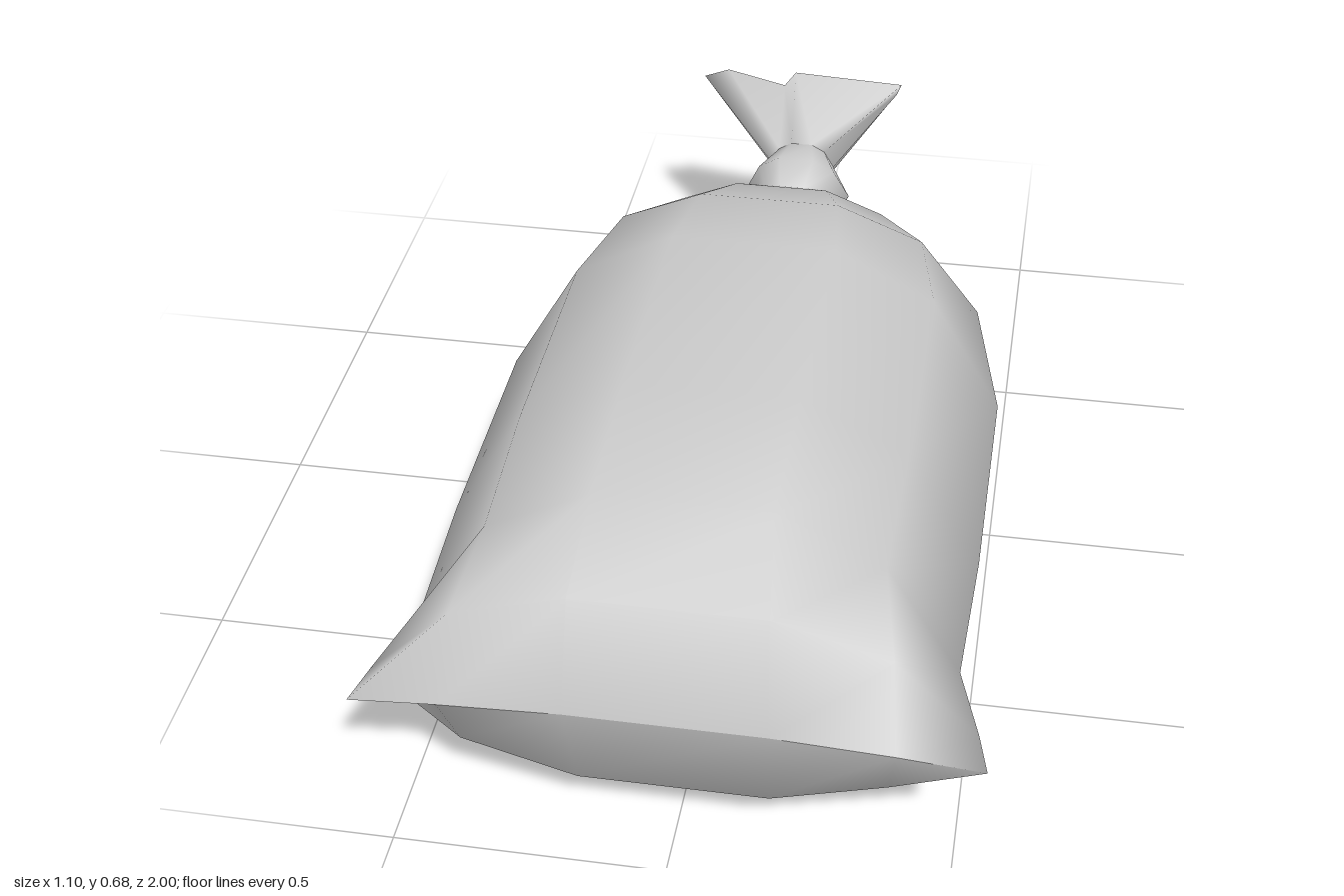
import * as THREE from 'three';

const material = new THREE.MeshStandardMaterial({ color: 0xcccccc, side: THREE.DoubleSide });

// Ten-sided unit outline, counter-clockwise from +x
const OUTLINE = [
  [1, 0], [0.72, 0.7], [0.325, 1], [-0.325, 1], [-0.72, 0.7],
  [-1, 0], [-0.72, -0.7], [-0.325, -1], [0.325, -1], [0.72, -0.7],
];
const SIDES = OUTLINE.length;

// A ring that may lean: its top and bottom can sit at different z
function ring(halfWidth, yTop, yBottom, zTop, zBottom = zTop) {
  return OUTLINE.map(([u, v]) => [
    u * halfWidth,
    THREE.MathUtils.lerp(yBottom, yTop, (v + 1) / 2),
    THREE.MathUtils.lerp(zBottom, zTop, (v + 1) / 2),
  ]);
}

// Smooth skin over rings that run from front to back
function loft(name, rings) {
  const index = [];
  for (let k = 0; k < rings.length - 1; k++) {
    for (let i = 0; i < SIDES; i++) {
      const a = k * SIDES + i;
      const b = k * SIDES + (i + 1) % SIDES;
      const c = a + SIDES;
      const d = b + SIDES;
      index.push(a, c, b, b, c, d);
    }
  }
  const geometry = new THREE.BufferGeometry();
  geometry.setAttribute('position', new THREE.Float32BufferAttribute(rings.flat(2), 3));
  geometry.setIndex(index);
  geometry.computeVertexNormals();
  const mesh = new THREE.Mesh(geometry, material);
  mesh.name = name;
  return mesh;
}

export function createModel() {
  const group = new THREE.Group();
  group.name = 'tiedSack';

  // Sack: flat front seam, full belly, leaning shoulders closing at the neck
  const seam = ring(0.55, 0.34, 0.34, 1).map(([x, y]) => [x, y, 0.975 + 0.025 * (x / 0.55) ** 2]);
  const shoulder = ring(0.43, 0.655, 0.055, -0.2, -0.4);
  shoulder[9] = [0.355, 0.055, -0.37]; // sagging fold under one side
  const neck = ring(0.095, 0.48, 0.31, -0.53, -0.565);
  group.add(loft('sack', [
    seam,
    ring(0.53, 0.555, 0.13, 0.92),
    ring(0.485, 0.66, 0.02, 0.77),
    ring(0.495, 0.68, 0, 0.48),
    ring(0.495, 0.68, 0, 0),
    shoulder,
    ring(0.29, 0.58, 0.18, -0.37, -0.51),
    neck,
  ]));

  // Knot: small bulge between the neck and the loose end
  const tie = ring(0.07, 0.5, 0.37, -0.68, -0.72);
  group.add(loft('knot', [
    ring(0.08, 0.48, 0.31, -0.53, -0.565),
    ring(0.115, 0.515, 0.305, -0.59, -0.655),
    tie,
  ]));

  // Loose end: crumpled flare with a hollow inside
  const rim = [
    [0.185, 0.49, -0.95], [0.2, 0.55, -0.89], [-0.04, 0.575, -0.865], [-0.07, 0.52, -0.9],
    [-0.2, 0.55, -0.9], [-0.265, 0.5, -0.95], [-0.2, 0.465, -1], [-0.06, 0.43, -1],
    [0.1, 0.43, -1], [0.17, 0.46, -0.97],
  ];
  group.add(loft('looseEnd', [tie, rim]));
  group.add(loft('looseEndInside', [rim, rim.map(() => [0, 0.46, -0.8])]));

  return group;
}
